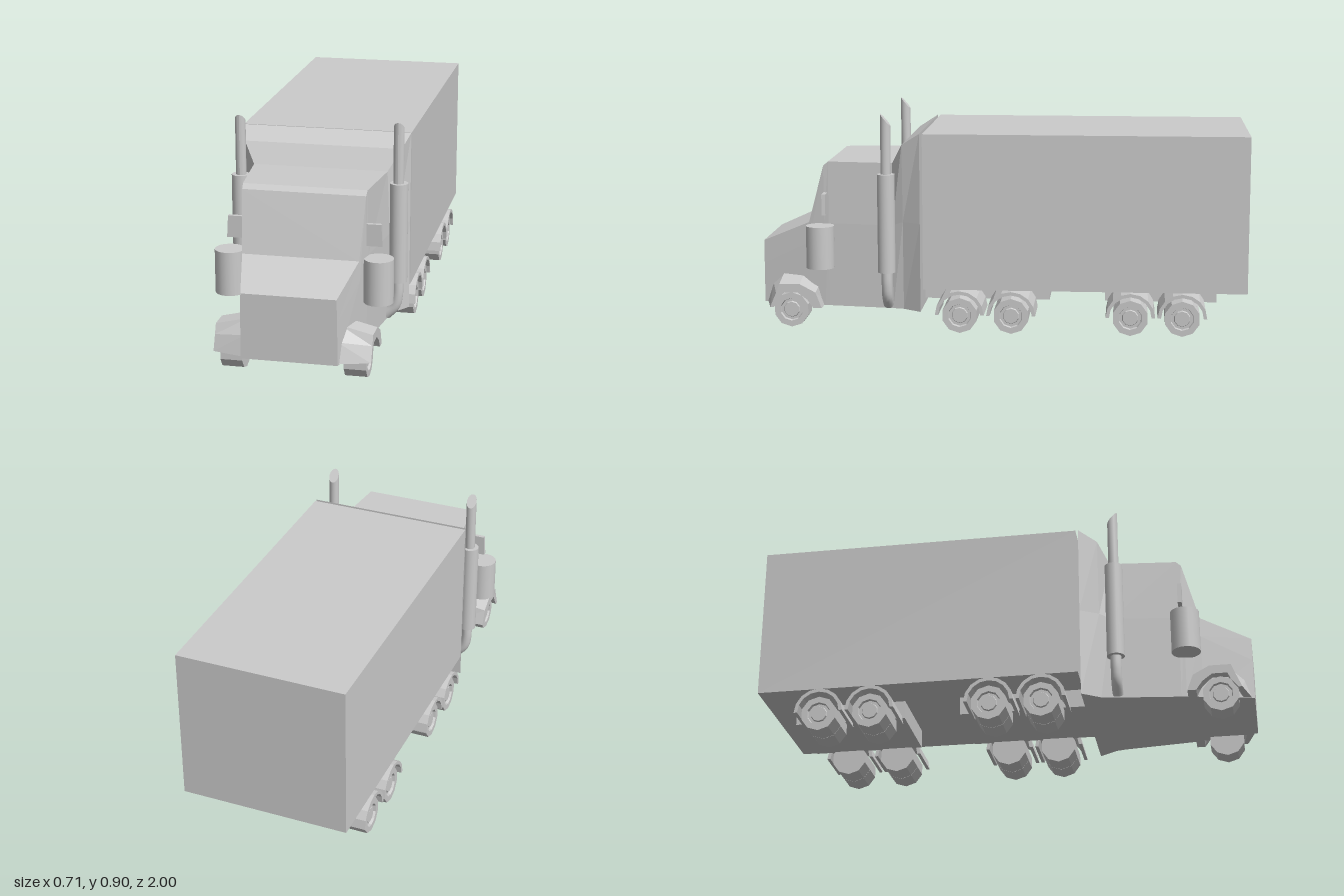
import * as THREE from 'three';

const flat = new THREE.MeshStandardMaterial({ color: 0xcccccc, flatShading: true });
const smooth = new THREE.MeshStandardMaterial({ color: 0xcccccc });

function add(parent, name, geometry, material = flat, x = 0, y = 0, z = 0) {
  const mesh = new THREE.Mesh(geometry, material);
  mesh.name = name;
  mesh.position.set(x, y, z);
  parent.add(mesh);
  return mesh;
}

// Box given by its min and max corners
function box(parent, name, [x0, y0, z0], [x1, y1, z1]) {
  return add(parent, name, new THREE.BoxGeometry(x1 - x0, y1 - y0, z1 - z0), flat,
    (x0 + x1) / 2, (y0 + y1) / 2, (z0 + z1) / 2);
}

// Capped skin over equal-length rings, each counter-clockwise seen from the first ring's end
function loft(rings) {
  const n = rings[0].length, index = [];
  for (let i = 0; i < rings.length - 1; i++) {
    for (let j = 0; j < n; j++) {
      const k = (j + 1) % n;
      const a = i * n + j, b = i * n + k, c = b + n, d = a + n;
      index.push(a, d, c, a, c, b);
    }
  }
  const last = (rings.length - 1) * n;
  for (let j = 1; j < n - 1; j++) {
    index.push(0, j, j + 1, last, last + j + 1, last + j);
  }
  const g = new THREE.BufferGeometry();
  g.setAttribute('position', new THREE.Float32BufferAttribute(rings.flat(2), 3));
  g.setIndex(index);
  const out = g.toNonIndexed();
  out.computeVertexNormals();
  return out;
}

// Cab cross-sections: z, half width at floor, waist half width, waist y, top half width, top y
function cabGeometry() {
  const sections = [
    [1.0, 0.187, 0.185, 0.25, 0.183, 0.345],
    [0.8, 0.23, 0.23, 0.35, 0.228, 0.432],
    [0.735, 0.243, 0.243, 0.432, 0.241, 0.67],
    [0.715, 0.246, 0.247, 0.432, 0.243, 0.688],
    [0.445, 0.28, 0.28, 0.432, 0.27, 0.688],
    [0.40, 0.29, 0.3, 0.45, 0.318, 0.77],
    [0.325, 0.341, 0.342, 0.45, 0.343, 0.818],
  ];
  return loft(sections.map(([z, fw, ww, wy, tw, ty]) => [
    [-fw, 0.085, z], [fw, 0.085, z], [ww, wy, z], [tw, ty, z], [-tw, ty, z], [-ww, wy, z],
  ]));
}

// Angular arch over the front wheel: outer z, y and inner z, y
function frontFenderGeometry() {
  const arch = [
    [0.99, 0.088, 0.957, 0.088], [0.965, 0.165, 0.93, 0.14], [0.915, 0.215, 0.9, 0.18],
    [0.83, 0.215, 0.84, 0.18], [0.765, 0.17, 0.8, 0.14], [0.74, 0.085, 0.775, 0.085],
  ];
  return loft(arch.map(([zo, yo, zi, yi]) => {
    const back = zo > 0.95 ? 0.035 : 0;
    const drop = (yo - 0.085) * 0.23;
    return [
      [0.18, yi, zi], [0.305, yi - drop, zi - back * 0.5],
      [0.305, yo - drop, zo - back], [0.18, yo, zo],
    ];
  }));
}

// Ten-sided wheel with a recessed hub on its outer face
function wheelGeometry(width) {
  const h = width / 2, r = 0.073;
  const profile = [[0, -h], [r, -h], [r, h], [0.048, h], [0.045, h - 0.012], [0.034, h - 0.012], [0.031, h - 0.005], [0, h - 0.005]];
  const g = new THREE.LatheGeometry(profile.map(([x, y]) => new THREE.Vector2(x, y)), 10, Math.PI / 2);
  return g.rotateZ(-Math.PI / 2);
}

// Thin half-ring mudguard extruded across the wheel
function mudguardGeometry() {
  const shape = new THREE.Shape();
  const n = 8;
  for (let i = 0; i <= n; i++) {
    const a = (Math.PI * i) / n;
    shape[i ? 'lineTo' : 'moveTo'](0.1 * Math.cos(a), 0.1 * Math.sin(a));
  }
  for (let i = n; i >= 0; i--) {
    const a = (Math.PI * i) / n;
    shape.lineTo(0.086 * Math.cos(a), 0.086 * Math.sin(a));
  }
  return new THREE.ExtrudeGeometry(shape, { depth: 0.19, bevelEnabled: false }).rotateY(Math.PI / 2);
}

// Upper exhaust pipe, cut at a slant that is highest at the front
function stackGeometry() {
  const g = new THREE.CylinderGeometry(0.021, 0.021, 0.25, 16);
  const p = g.attributes.position;
  for (let i = 0; i < p.count; i++) {
    if (p.getY(i) > 0) p.setY(i, 0.1 + p.getZ(i) * 1.15);
  }
  g.computeVertexNormals();
  return g;
}

// Everything on the model's left side
function sideParts() {
  const side = new THREE.Group();
  add(side, 'frontFender', frontFenderGeometry());
  add(side, 'frontWheel', wheelGeometry(0.086), flat, 0.24, 0.073, 0.87);

  for (const z of [0.165, -0.045, -0.53, -0.74]) {
    add(side, 'innerWheel', wheelGeometry(0.092), flat, 0.203, 0.073, z);
    add(side, 'outerWheel', wheelGeometry(0.092), flat, 0.297, 0.073, z);
    add(side, 'mudguard', mudguardGeometry(), flat, 0.165, 0.077, z);
  }

  // Exhaust
  add(side, 'exhaustStack', stackGeometry(), smooth, 0.318, 0.772, 0.465);
  add(side, 'muffler', new THREE.CylinderGeometry(0.036, 0.036, 0.405, 20), smooth, 0.32, 0.4475, 0.465);
  const bend = new THREE.CatmullRomCurve3([
    new THREE.Vector3(0.318, 0.26, 0.465), new THREE.Vector3(0.318, 0.19, 0.465),
    new THREE.Vector3(0.307, 0.14, 0.465), new THREE.Vector3(0.27, 0.1, 0.465),
  ]);
  add(side, 'exhaustElbow', new THREE.TubeGeometry(bend, 12, 0.022, 14), smooth);

  // Air cleaner and mirror
  add(side, 'airCleaner', new THREE.CylinderGeometry(0.058, 0.058, 0.175, 20), smooth, 0.293, 0.3425, 0.743);
  const mirror = box(side, 'mirror', [0.235, 0.473, 0.718], [0.305, 0.56, 0.734]);
  const p = mirror.geometry.attributes.position;
  for (let i = 0; i < p.count; i++) {
    if (p.getX(i) > 0 && p.getY(i) > 0) p.setX(i, 0.03);
  }
  return side;
}

export function createModel() {
  const truck = new THREE.Group();
  truck.name = 'truck';

  add(truck, 'cab', cabGeometry());
  box(truck, 'trailer', [-0.343, 0.18, -1], [0.343, 0.817, 0.314]);

  // Chassis
  box(truck, 'coupling', [-0.16, 0.105, 0.3], [0.16, 0.23, 0.33]);
  box(truck, 'frontBogie', [-0.165, 0.105, -0.195], [0.165, 0.185, 0.33]);
  box(truck, 'rearBogie', [-0.165, 0.105, -0.885], [0.165, 0.185, -0.425]);

  const left = sideParts();
  left.name = 'leftSide';
  const right = sideParts();
  right.name = 'rightSide';
  right.scale.x = -1;
  truck.add(left, right);
  return truck;
}
